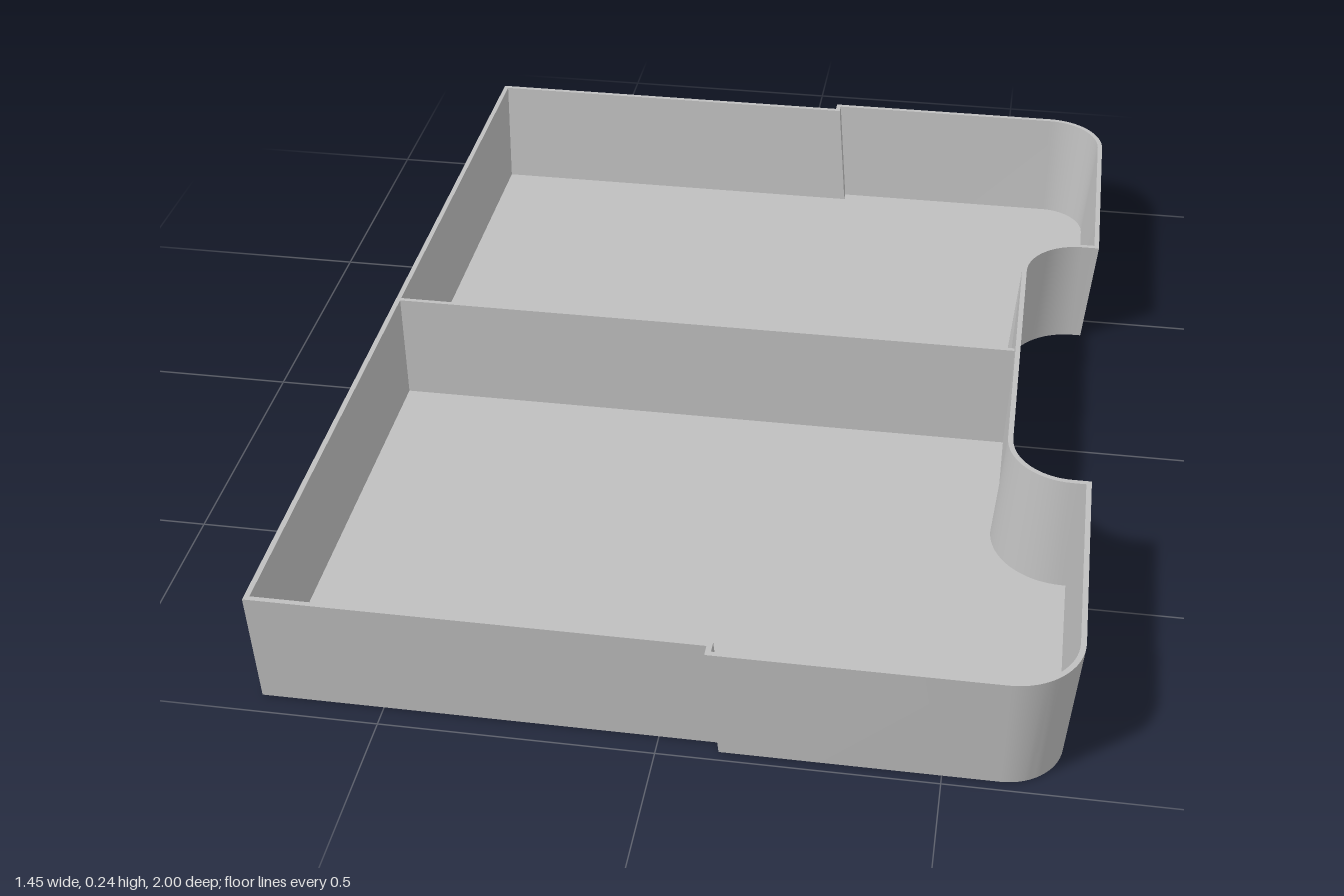
import * as THREE from 'three';
import { toCreasedNormals } from 'three/addons/utils/BufferGeometryUtils.js';

const HEIGHT = 0.241, FLOOR = 0.01, TAPER = 0.02, WALL = 0.01;

// Plan outline [x, z], inset by taper t and wall thickness w; anticlockwise from above.
function outline(t, w) {
  const d = t + w, half = [];
  const arc = (cx, cz, r, a0, a1, n) => {
    for (let i = 0; i <= n; i++) {
      const a = a0 + (a1 - a0) * i / n;
      half.push([cx + r * Math.cos(a), cz + r * Math.sin(a)]);
    }
  };
  // straight back corner and the small step in the side
  half.push([-0.726 + w, 0.977 - d], [0.09 + d, 0.977 - d], [0.09 + d, 1 - d]);
  // rounded outer corner
  arc(0.601, 0.875, 0.125 - d, Math.PI / 2, 0, 16);
  // recess corner and its concave arc
  half.push([0.726 - d, 0.42 + d]);
  arc(0.69, 0.305, 0.115 + d, Math.PI / 2, Math.PI, 16);
  half.push([0.575 - w - t * 0.5, 0.3]);
  return [...half, ...half.map(([x, z]) => [x, -z]).reverse()];
}

// Skin joining successive closed loops, each { points, y }
function skin(loops) {
  const pos = [], index = [], n = loops[0].points.length;
  for (const { points, y } of loops) for (const [x, z] of points) pos.push(x, y, z);
  for (let r = 0; r < loops.length - 1; r++) {
    for (let i = 0; i < n; i++) {
      const j = (i + 1) % n, a = r * n, b = a + n;
      index.push(a + i, a + j, b + j, a + i, b + j, b + i);
    }
  }
  const g = new THREE.BufferGeometry();
  g.setAttribute('position', new THREE.Float32BufferAttribute(pos, 3));
  g.setIndex(index);
  return toCreasedNormals(g, 0.5);
}

// Flat plate filling an outline, facing up (1) or down (-1)
function plate(points, y, facing) {
  const shape = new THREE.Shape(points.map(([x, z]) => new THREE.Vector2(x, -z * facing)));
  return new THREE.ShapeGeometry(shape).rotateX(-facing * Math.PI / 2).translate(0, y, 0);
}

export function createModel() {
  const group = new THREE.Group();
  const grey = new THREE.MeshStandardMaterial({ color: 0xbfbfbf });
  grey.name = 'grey plastic';
  const add = (name, geometry) => {
    const mesh = new THREE.Mesh(geometry, grey);
    mesh.name = name;
    group.add(mesh);
    return mesh;
  };

  const outerBottom = outline(TAPER, 0);
  const innerBottom = outline(TAPER * (1 - FLOOR / HEIGHT), WALL);

  // tapered rim wall
  add('trayWall', skin([
    { points: outerBottom, y: 0 },
    { points: outline(0, 0), y: HEIGHT },
    { points: outline(0, WALL), y: HEIGHT },
    { points: innerBottom, y: FLOOR },
  ]));

  // floor, inside and underneath
  add('trayFloor', plate(innerBottom, FLOOR, 1));
  add('trayUnderside', plate(outerBottom, 0, -1));

  // central divider running from the back wall to the recess
  const x0 = -0.72, x1 = 0.563;
  add('divider', new THREE.BoxGeometry(x1 - x0, HEIGHT - FLOOR, 0.009))
    .position.set((x0 + x1) / 2, (HEIGHT + FLOOR) / 2 - 0.0005, 0);

  return group;
}
